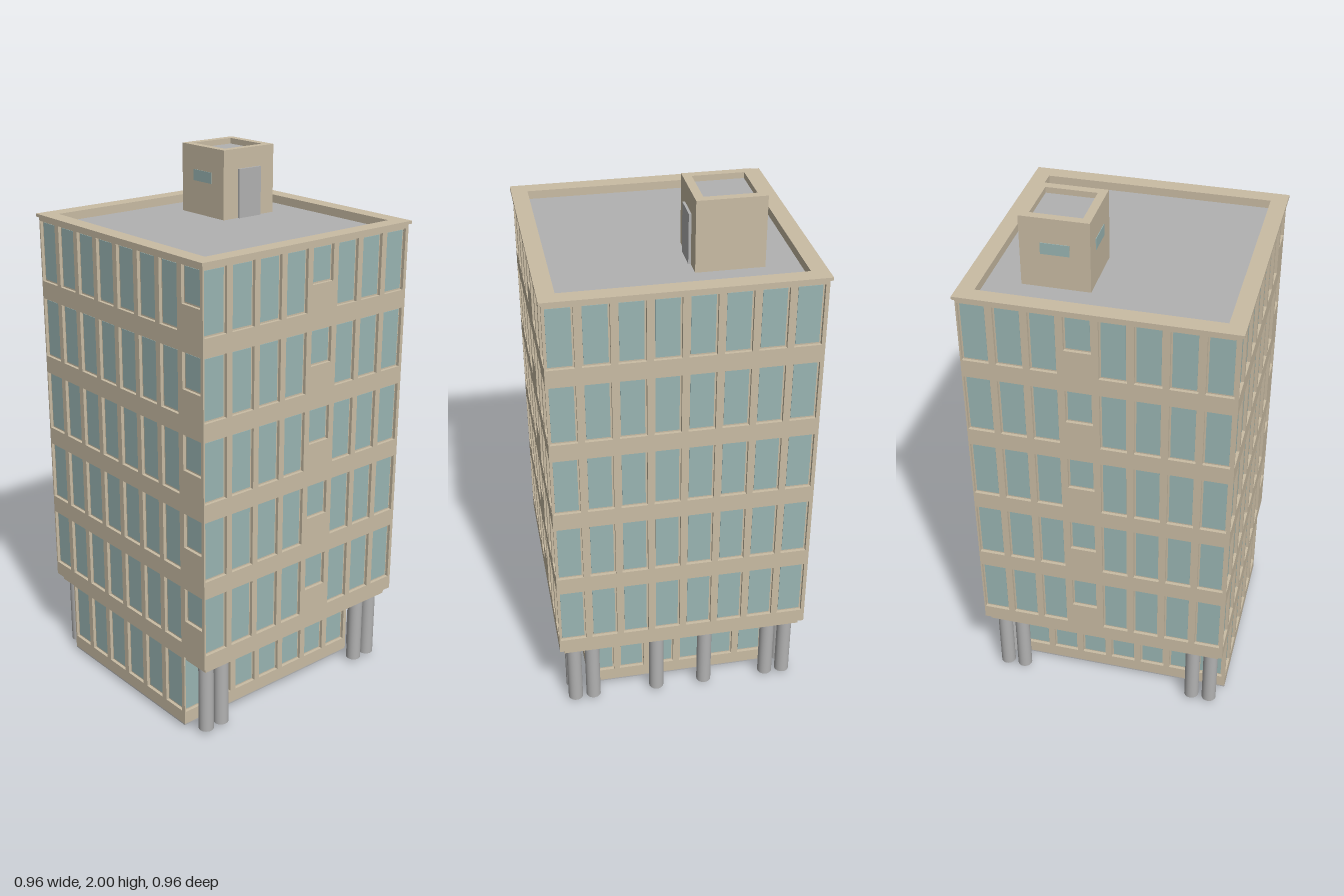
import * as THREE from 'three';

const beige = new THREE.MeshStandardMaterial({ color: 0xc9bca4 });
beige.name = 'beige concrete';
const glass = new THREE.MeshStandardMaterial({ color: 0x9ab5b3 });
glass.name = 'teal glass';
const grey = new THREE.MeshStandardMaterial({ color: 0xb2b2b2 });
grey.name = 'grey';

const T = 0.012;          // depth of the window recesses
const H = 0.472;          // half width of the tower
const G = 0.355;          // half width of the ground floor
const WIN_W = 0.095, TALL = 0.225, SMALL = 0.13;
const columnU = i => -0.004 + (i - 3.5) * 0.1185;

function add(parent, name, geometry, material) {
  const mesh = new THREE.Mesh(geometry, material);
  mesh.name = name;
  parent.add(mesh);
  return mesh;
}

// Box given by its lower and upper corners
function box(parent, name, material, x0, x1, y0, y1, z0, z1) {
  const mesh = add(parent, name, new THREE.BoxGeometry(x1 - x0, y1 - y0, z1 - z0), material);
  mesh.position.set((x0 + x1) / 2, (y0 + y1) / 2, (z0 + z1) / 2);
  return mesh;
}

function rectangle(target, x0, x1, y0, y1) {
  target.moveTo(x0, y0);
  target.lineTo(x1, y0);
  target.lineTo(x1, y1);
  target.lineTo(x0, y1);
  target.closePath();
  return target;
}

// Square ring lying flat, used for parapets
function ring(parent, name, outer, inner, y0, y1, x = 0, z = 0) {
  const shape = rectangle(new THREE.Shape(), -outer, outer, -outer, outer);
  shape.holes.push(rectangle(new THREE.Path(), -inner, inner, -inner, inner));
  const geometry = new THREE.ExtrudeGeometry(shape, { depth: y1 - y0, bevelEnabled: false });
  geometry.rotateX(-Math.PI / 2);
  add(parent, name, geometry, beige).position.set(x, y0, z);
}

// Wall panel with window openings, and glass set back in them
function facade(parent, name, turn, dist, u0, u1, y0, y1, windows) {
  const group = new THREE.Group();
  group.name = name;
  group.rotation.y = turn * Math.PI / 2;
  const wall = rectangle(new THREE.Shape(), u0, u1, y0, y1);
  for (const { u, top, height } of windows) {
    const a = u - WIN_W / 2, b = u + WIN_W / 2;
    wall.holes.push(rectangle(new THREE.Path(), a, b, top - height, top));
    box(group, 'windowPane', glass, a + 0.006, b - 0.006, top - height + 0.006, top - 0.006,
      dist - T - 0.002, dist - T + 0.002);
  }
  const geometry = new THREE.ExtrudeGeometry(wall, { depth: T, bevelEnabled: false });
  add(group, 'wallPanel', geometry, beige).position.z = dist - T;
  parent.add(group);
}

export function createModel() {
  const model = new THREE.Group();
  model.name = 'officeTower';

  // Tower: solid core with four panels; three sides have one column of small windows
  box(model, 'towerCore', beige, -H + T, H - T, 0.305, 1.74, -H + T, H - T);
  const names = ['front', 'left', 'back', 'right'];
  const smallColumn = [7, 4, -1, 3];
  for (let side = 0; side < 4; side++) {
    const windows = [];
    for (let floor = 0; floor < 5; floor++)
      for (let i = 0; i < 8; i++)
        windows.push({ u: columnU(i), top: 0.585 + floor * 0.2915, height: i === smallColumn[side] ? SMALL : TALL });
    facade(model, names[side] + 'Facade', side, H, -H, H - T, 0.305, 1.766, windows);
  }

  // Roof, parapet and cornice
  box(model, 'roofDeck', grey, -0.42, 0.42, 1.738, 1.746, -0.42, 0.42);
  ring(model, 'parapet', H - T, 0.42, 1.738, 1.766);
  ring(model, 'cornice', 0.48, 0.42, 1.766, 1.777);

  // Slab under the tower
  box(model, 'soffitSlab', beige, -0.455, 0.455, 0.28, 0.305, -0.455, 0.455);

  // Ground floor: flush at the front, set back on the other sides
  box(model, 'groundCore', beige, -G + T, G - T, 0.02, 0.3, -G + T, H - T);
  box(model, 'groundUnderside', grey, -G, G, 0.015, 0.02, -G, H);
  const ground = [
    { dist: H, u0: -G, u1: G - T, first: 1, last: 6 },
    { dist: G, u0: -H, u1: G - T, first: 0, last: 6 },
    { dist: G, u0: -G, u1: G - T, first: 1, last: 6 },
    { dist: G, u0: -G, u1: H - T, first: 1, last: 7 },
  ];
  ground.forEach(({ dist, u0, u1, first, last }, side) => {
    const windows = [];
    for (let i = first; i <= last; i++) windows.push({ u: columnU(i), top: 0.295, height: TALL });
    facade(model, names[side] + 'GroundWall', side, dist, u0, u1, 0.02, 0.305, windows);
  });

  // Foundation pads
  for (const x of [-0.203, 0.203])
    for (const z of [-0.237, 0.24])
      box(model, 'foundationPad', beige, x - 0.036, x + 0.036, 0, 0.015, z - 0.083, z + 0.083);

  // Round columns: pairs at the front corners, threes at the back, two between
  const spots = [[0.095, -0.412], [-0.095, -0.412]];
  for (const s of [-1, 1])
    spots.push([s * 0.415, 0.42], [s * 0.415, 0.35], [s * 0.415, -0.412], [s * 0.415, -0.342], [s * 0.345, -0.412]);
  const columnGeometry = new THREE.CylinderGeometry(0.028, 0.028, 0.265, 24);
  for (const [x, z] of spots)
    add(model, 'column', columnGeometry, grey).position.set(x, 0.1475, z);

  // Stair house on the roof
  const c = -0.18;
  box(model, 'stairHouse', beige, -0.3, -0.06, 1.74, 1.975, -0.3, -0.06);
  ring(model, 'stairHouseParapet', 0.12, 0.09, 1.975, 2, c, c);
  box(model, 'stairHouseRoof', grey, -0.27, -0.09, 1.974, 1.979, -0.27, -0.09);
  box(model, 'stairHouseDoor', grey, -0.062, -0.051, 1.746, 1.927, -0.232, -0.128);
  box(model, 'stairHouseFrontWindow', glass, -0.234, -0.131, 1.87, 1.911, -0.062, -0.058);
  box(model, 'stairHouseSideWindow', glass, -0.302, -0.298, 1.87, 1.911, -0.23, -0.13);

  return model;
}
